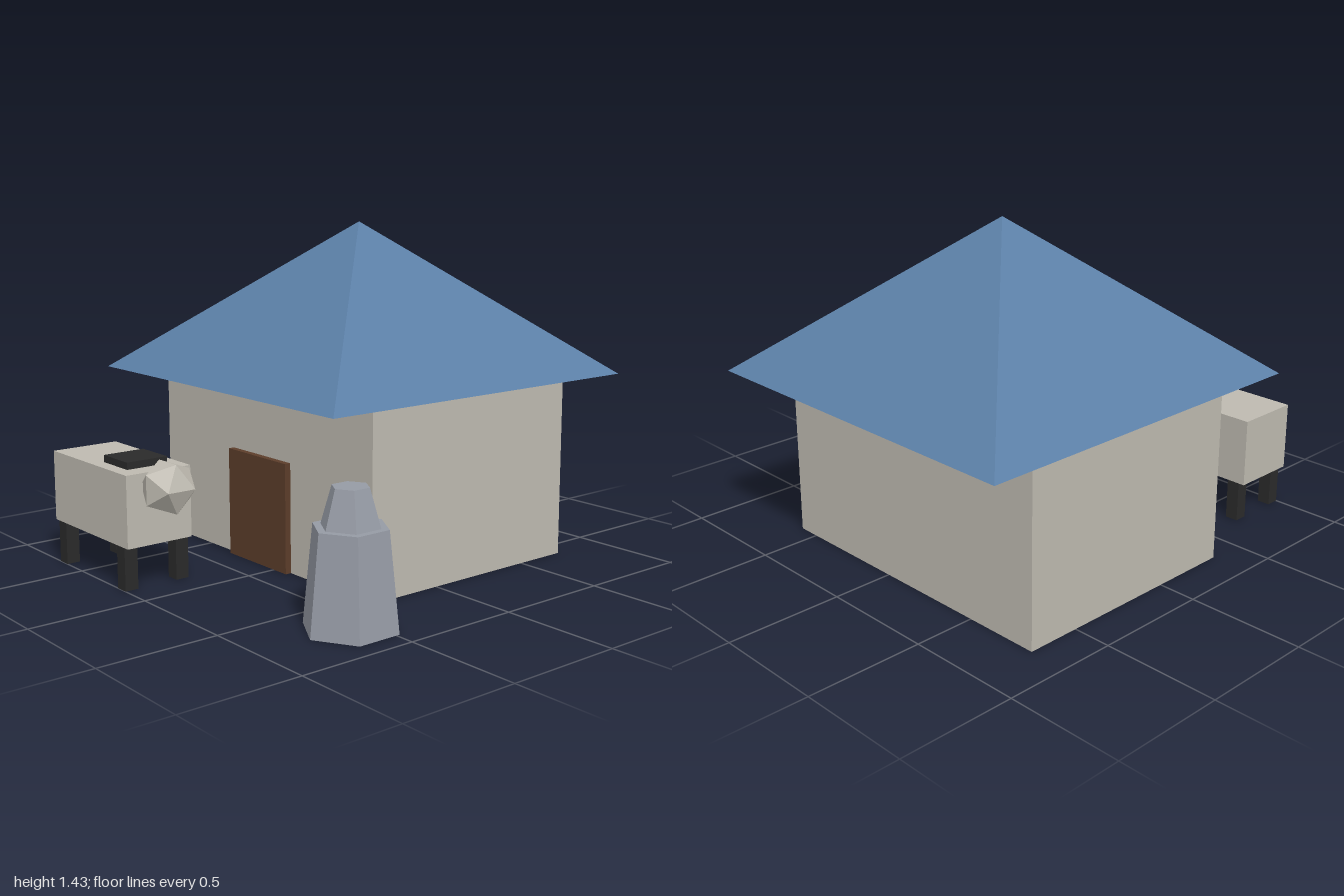
import * as THREE from 'three';

export function createModel() {
  const model = new THREE.Group();
  model.name = 'cottageWithSheep';

  const material = (name, color) => {
    const m = new THREE.MeshStandardMaterial({ color, flatShading: true });
    m.name = name;
    return m;
  };
  const plaster = material('paleStone', 0xbebab0);
  const slate = material('blueRoof', 0x5b7fa6);
  const wood = material('brownWood', 0x5c3d2a);
  const dark = material('charcoal', 0x2a2a2a);
  const rock = material('greyStone', 0x969ba5);

  const add = (parent, name, geometry, mat, x, y, z) => {
    const mesh = new THREE.Mesh(geometry, mat);
    mesh.name = name;
    mesh.position.set(x, y, z);
    parent.add(mesh);
    return mesh;
  };
  const group = (name, x, z) => {
    const g = new THREE.Group();
    g.name = name;
    g.position.set(x, 0, z);
    model.add(g);
    return g;
  };

  // House: walls, pyramid roof with wide eaves, door
  const house = group('house', -0.117, -0.196);
  add(house, 'walls', new THREE.BoxGeometry(1.434, 0.78, 1.078), plaster, 0, 0.39, 0);
  const roof = new THREE.ConeGeometry(0.803 * Math.SQRT2, 0.655, 4).rotateY(Math.PI / 4);
  add(house, 'roof', roof, slate, 0, 1.1075, 0);
  add(house, 'door', new THREE.BoxGeometry(0.4, 0.47, 0.06), wood, 0, 0.235, 0.536);

  // Sheep: box body, faceted head, back pad and four legs
  const sheep = group('sheep', -0.415, 0.85);
  add(sheep, 'body', new THREE.BoxGeometry(0.594, 0.3, 0.3), plaster, 0, 0.33, 0);
  add(sheep, 'head', new THREE.IcosahedronGeometry(0.118, 0), plaster, 0.365, 0.425, 0);
  add(sheep, 'backPad', new THREE.BoxGeometry(0.183, 0.03, 0.187), dark, 0.12, 0.495, 0);
  for (const sx of [-1, 1]) {
    for (const sz of [-1, 1]) {
      add(sheep, 'leg', new THREE.BoxGeometry(0.059, 0.18, 0.059), dark, sx * 0.24, 0.09, sz * 0.12);
    }
  }

  // Stone marker: two tapering hexagonal tiers
  const marker = group('stoneMarker', 0.752, 0.58);
  add(marker, 'lowerTier', new THREE.CylinderGeometry(0.15, 0.19, 0.39, 6), rock, 0, 0.195, 0);
  add(marker, 'upperTier', new THREE.CylinderGeometry(0.074, 0.118, 0.15, 6), rock, 0, 0.465, 0);

  return model;
}
